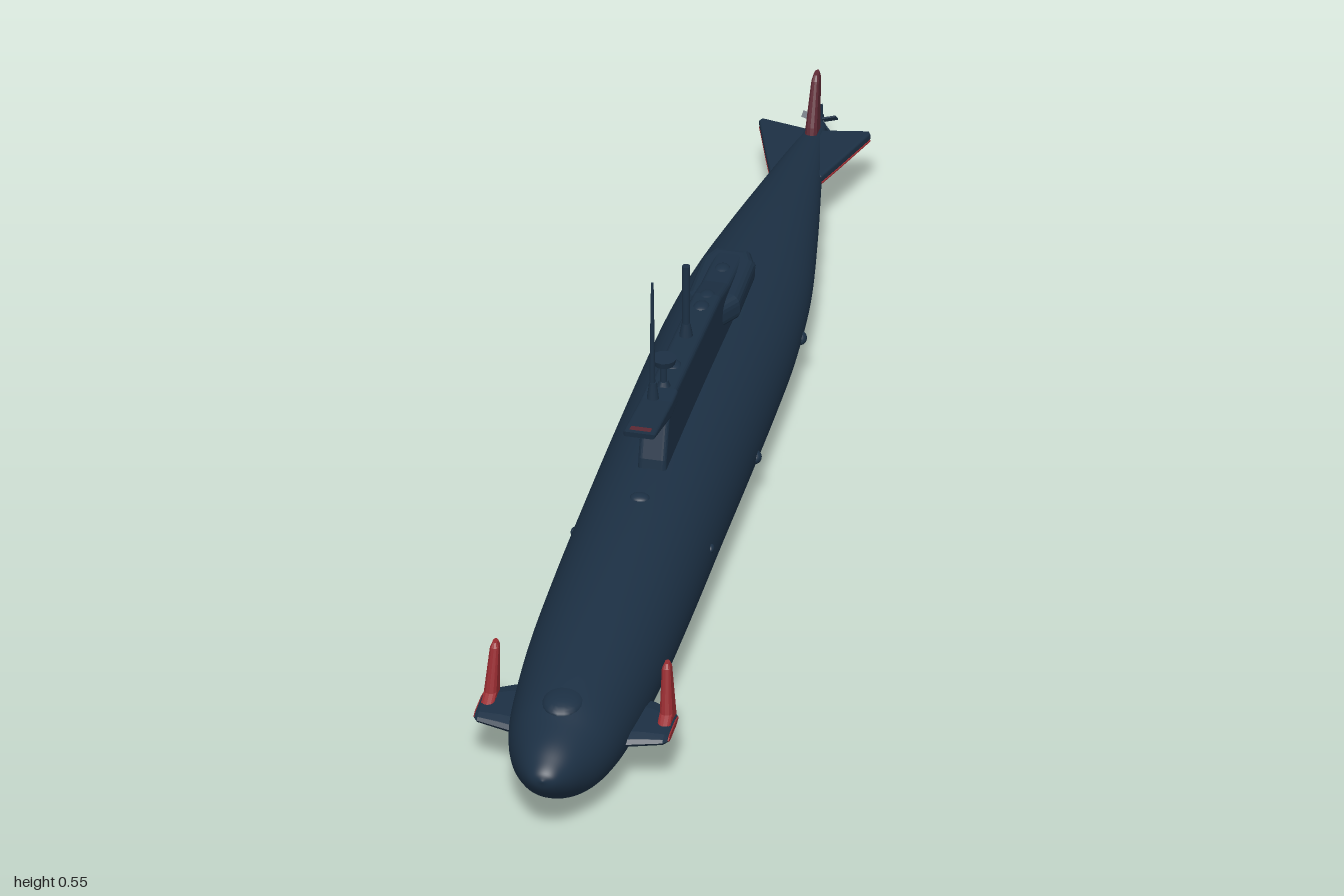
import * as THREE from 'three';
import { mergeVertices } from 'three/addons/utils/BufferGeometryUtils.js';
import { ConvexGeometry } from 'three/addons/geometries/ConvexGeometry.js';

const mat = (name, color) => {
  const m = new THREE.MeshStandardMaterial({ color });
  m.name = name;
  return m;
};

// Hull stations: z, half width, top y, bottom y
const STATIONS = [
  [1.0, 0, 0.133, 0.133], [0.993, 0.02, 0.146, 0.114], [0.975, 0.036, 0.158, 0.092],
  [0.945, 0.054, 0.172, 0.068], [0.9, 0.074, 0.184, 0.042], [0.84, 0.09, 0.199, 0.024],
  [0.75, 0.101, 0.208, 0.012], [0.6, 0.11, 0.217, 0.005], [0.4, 0.113, 0.223, 0.001],
  [0.2, 0.113, 0.224, 0], [0, 0.113, 0.218, 0], [-0.2, 0.112, 0.207, 0.004],
  [-0.35, 0.109, 0.195, 0.014], [-0.5, 0.097, 0.18, 0.032], [-0.65, 0.073, 0.163, 0.055],
  [-0.8, 0.045, 0.143, 0.082], [-0.92, 0.022, 0.128, 0.1], [-0.975, 0.012, 0.121, 0.107],
  [-0.976, 0, 0.114, 0.114],
];
const curve = (f) => new THREE.CatmullRomCurve3(STATIONS.map(f), false, 'catmullrom', 0.5);
const outline = curve(([z, , top, bottom]) => new THREE.Vector3(top, bottom, z));
const breadth = curve(([z, w]) => new THREE.Vector3(w, 0, z));

// Point on the hull; angle 0 is the deck line, growing towards +x
function hullPoint(t, angle, offset) {
  const o = outline.getPoint(t);
  const w = Math.max(0, breadth.getPoint(t).x);
  const h = Math.max(0, (o.x - o.y) / 2);
  return [(w + offset) * Math.sin(angle), (o.x + o.y) / 2 + (h + offset) * Math.cos(angle), o.z];
}

// Curve parameter for a given z
function tAt(z) {
  let lo = 0, hi = 1;
  for (let i = 0; i < 30; i++) {
    const mid = (lo + hi) / 2;
    if (outline.getPoint(mid).z > z) lo = mid; else hi = mid;
  }
  return lo;
}

function hullSurface(t0, t1, a0, a1, rows, cols, offset) {
  const pos = [], index = [];
  for (let i = 0; i <= rows; i++) {
    for (let j = 0; j <= cols; j++) {
      pos.push(...hullPoint(t0 + (t1 - t0) * i / rows, a0 + (a1 - a0) * j / cols, offset));
      if (i < rows && j < cols) {
        const a = i * (cols + 1) + j, c = a + cols + 1;
        index.push(a, a + 1, c, a + 1, c + 1, c);
      }
    }
  }
  let g = new THREE.BufferGeometry();
  g.setAttribute('position', new THREE.Float32BufferAttribute(pos, 3));
  g.setIndex(index);
  g = mergeVertices(g, 1e-5);
  g.computeVertexNormals();
  return g;
}

// Flat-sided section of a fin: span position, front z, rear z, half thickness, offset across
const section = (span, z0, z1, half, across) => [
  [0, 0], [0.6, 0.04], [-0.6, 0.04], [1, 0.16], [-1, 0.16], [0.95, 0.75], [-0.95, 0.75], [0.3, 1], [-0.3, 1],
].map(([a, f]) => [across + a * half, span, z0 + (z1 - z0) * f]);
const verticalFin = (...s) => new ConvexGeometry(
  s.flatMap((v) => section(...v)).map(([a, span, z]) => new THREE.Vector3(a, span, z)));
const horizontalFin = (side, ...s) => new ConvexGeometry(
  s.flatMap((v) => section(...v)).map(([a, span, z]) => new THREE.Vector3(side * span, a, z)));

function extrude(points, depth, bevel) {
  const g = new THREE.ExtrudeGeometry(new THREE.Shape(points.map((p) => new THREE.Vector2(...p))), {
    depth: depth - 2 * bevel, bevelEnabled: bevel > 0, bevelSize: bevel,
    bevelThickness: bevel, bevelOffset: -bevel, bevelSegments: 4,
  });
  return g.translate(0, 0, bevel - depth / 2);
}
// Outline in (z, y), thickness along x
const sideExtrude = (p, depth, bevel) => extrude(p, depth, bevel).rotateY(-Math.PI / 2);
// Outline in (x, z), thickness along y
const planExtrude = (p, depth, bevel) => extrude(p, depth, bevel).rotateX(Math.PI / 2);

export function createModel() {
  const model = new THREE.Group();
  model.name = 'submarine';
  const navy = mat('navy hull', 0x1c3044);
  const red = mat('red fin', 0x982c31);
  const dull = mat('dull red', 0x5e2a35);

  const add = (name, geometry, material = navy, x = 0, y = 0, z = 0) => {
    const m = new THREE.Mesh(geometry, material);
    m.name = name;
    m.position.set(x, y, z);
    model.add(m);
    return m;
  };
  const rod = (name, x, z, y0, y1, r0, r1) =>
    add(name, new THREE.CylinderGeometry(r1, r0, y1 - y0, 12), navy, x, (y0 + y1) / 2, z);
  const dome = (name, x, y, z, sx, sy, sz) =>
    add(name, new THREE.SphereGeometry(1, 20, 12), navy, x, y, z).scale.set(sx, sy, sz);

  // Hull and the worn red patches of its keel
  add('hull', hullSurface(0, 1, 0, Math.PI * 2, 110, 48, 0));
  for (const [z0, z1, spread] of [[0.83, 0.68, 0.42], [0.52, 0.28, 0.36]]) {
    add('keelPatch', hullSurface(tAt(z0), tAt(z1), Math.PI - spread, Math.PI, 10, 6, 0.0012), dull);
  }

  // Sail with rear housing
  add('sail', sideExtrude([[0.222, 0.19], [0.215, 0.24], [0.195, 0.3], [0.18, 0.326], [0.15, 0.327],
    [-0.18, 0.3], [-0.24, 0.285], [-0.35, 0.272], [-0.362, 0.26], [-0.362, 0.18]], 0.046, 0.008));
  const housing = add('rearHousing', planExtrude([[-0.022, -0.19], [0.022, -0.19], [0.043, -0.225],
    [0.043, -0.335], [0.03, -0.365], [-0.03, -0.365], [-0.043, -0.335], [-0.043, -0.225]], 0.046, 0.016));
  housing.position.y = 0.25;

  // Plank reaching forward from the sail top, with a coloured end
  add('sailPlank', sideExtrude([[0.308, 0.349], [0.306, 0.339], [0.19, 0.305], [0.14, 0.305],
    [0.14, 0.328], [0.18, 0.33]], 0.052, 0.005));
  add('plankEnd', new THREE.BoxGeometry(0.034, 0.002, 0.013), dull, 0, 0.3463, 0.292).rotation.x = -0.15;

  // Masts
  rod('antennaBase', -0.007, 0.175, 0.32, 0.36, 0.011, 0.006);
  rod('antenna', -0.008, 0.175, 0.35, 0.546, 0.005, 0.0022);
  rod('mastBase', -0.002, -0.04, 0.3, 0.335, 0.013, 0.007);
  rod('mast', -0.002, -0.04, 0.33, 0.442, 0.0065, 0.0065);
  rod('periscopeBase', 0, 0.13, 0.318, 0.335, 0.014, 0.007);
  rod('periscope', 0, 0.13, 0.33, 0.366, 0.006, 0.006);
  rod('periscopeHead', 0, 0.125, 0.364, 0.375, 0.017, 0.02);
  for (const [z, y] of [[0.06, 0.317], [-0.14, 0.301], [-0.18, 0.296], [-0.29, 0.276]]) {
    dome('sailHatch', 0, y, z, 0.013, 0.007, 0.017);
  }

  // Deck and flank details
  dome('bowFairing', 0, 0.186, 0.845, 0.034, 0.016, 0.045);
  dome('foreDeckHatch', 0, 0.222, 0.3, 0.016, 0.007, 0.014);
  dome('aftDeckHatch', 0, 0.187, -0.44, 0.02, 0.007, 0.02);

  for (const s of [1, -1]) {
    for (const z of [-0.045, -0.395]) {
      dome('flankSensor', s * (z < -0.2 ? 0.103 : 0.109), 0.095, z, 0.01, 0.011, 0.012);
    }
    dome('flankSensor', s * 0.111, 0.13, 0.28, 0.005, 0.007, 0.009);

    // Bow plane with upright red fin and red underside
    add('bowPlane', horizontalFin(s, [0.085, 0.815, 0.68, 0.012, 0.097],
      [0.115, 0.808, 0.69, 0.011, 0.099], [0.15, 0.802, 0.712, 0.008, 0.101], [0.156, 0.795, 0.72, 0.005, 0.101]));
    add('bowPlaneUnderside', horizontalFin(s, [0.107, 0.796, 0.697, 0.011, 0.0965],
      [0.15, 0.795, 0.713, 0.008, 0.0995], [0.158, 0.79, 0.722, 0.005, 0.1]), red);
    add('bowFinRoot', verticalFin([0.1, 0.785, 0.702, 0.011, s * 0.143],
      [0.118, 0.748, 0.704, 0.01, s * 0.142]), red);
    add('bowFin', verticalFin([0.1, 0.752, 0.702, 0.011, s * 0.143],
      [0.118, 0.748, 0.704, 0.01, s * 0.142], [0.192, 0.73, 0.707, 0.007, s * 0.139],
      [0.2, 0.725, 0.711, 0.004, s * 0.139]), red);

    // Stern plane with red underside
    const plane = [[s * 0.008, -0.79], [s * 0.042, -0.815], [s * 0.06, -0.865], [s * 0.09, -0.952],
      [s * 0.086, -0.959], [s * 0.012, -0.945]];
    if (s < 0) plane.reverse();
    add('sternPlane', planExtrude(plane, 0.014, 0.004), navy, 0, 0.117, 0);
    add('sternPlaneUnderside', planExtrude(plane, 0.002, 0), red, 0, 0.109, 0);
  }

  // Rudders
  add('upperRudder', verticalFin([0.112, -0.912, -0.962, 0.01, 0], [0.14, -0.92, -0.966, 0.009, 0],
    [0.208, -0.95, -0.978, 0.006, 0], [0.216, -0.957, -0.975, 0.004, 0]), dull);
  add('lowerRudder', verticalFin([0.112, -0.912, -0.968, 0.01, 0], [0.085, -0.916, -0.968, 0.009, 0],
    [0.042, -0.928, -0.96, 0.006, 0], [0.034, -0.933, -0.956, 0.004, 0]), dull);

  // Propeller
  add('propellerHub', new THREE.CylinderGeometry(0.009, 0.004, 0.034, 12).rotateX(Math.PI / 2), navy, 0, 0.114, -0.983);
  for (let i = 0; i < 5; i++) {
    const blade = add('propellerBlade', new THREE.BoxGeometry(0.011, 0.022, 0.003)
      .rotateY(0.6).translate(0, 0.018, 0), navy, 0, 0.114, -0.985);
    blade.rotation.z = i * Math.PI * 2 / 5;
  }
  return model;
}
